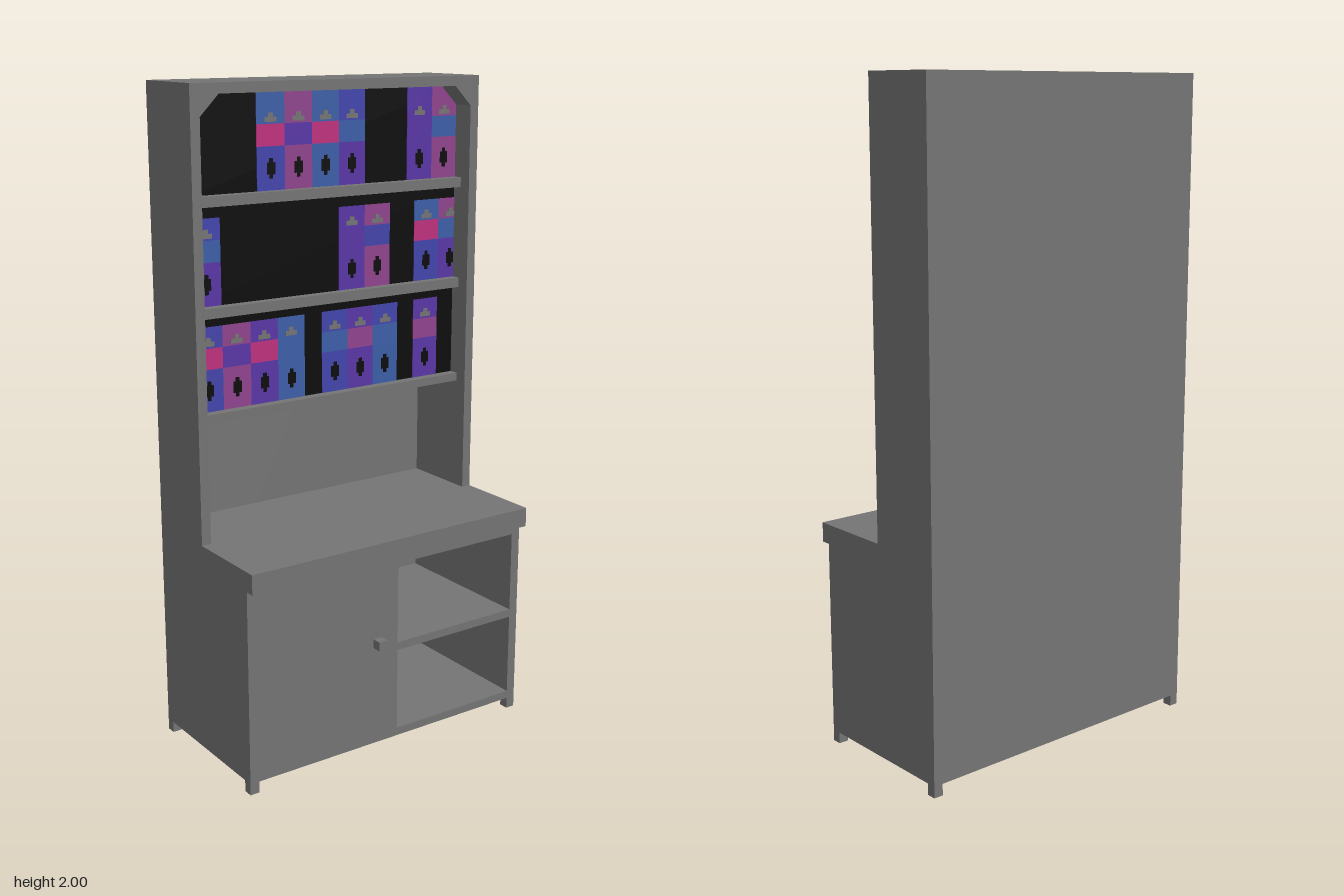
import * as THREE from 'three';

export function createModel() {
  const group = new THREE.Group();
  group.name = 'hutchCabinet';
  const paint = (name, color) => {
    const m = new THREE.MeshStandardMaterial({ color });
    m.name = name;
    return m;
  };
  const gray = paint('grayWood', 0x757575);
  const black = paint('blackShadow', 0x0c0c0c);
  const covers = {
    u: paint('purpleCover', 0x5a37a8),
    i: paint('indigoCover', 0x4445ad),
    b: paint('blueCover', 0x3d5fa9),
    m: paint('magentaCover', 0x91448f),
    p: paint('pinkCover', 0xc0317f),
  };

  // Box given by its two extents along each axis
  const box = (name, x0, x1, y0, y1, z0, z1, mat = gray, parent = group) => {
    const mesh = new THREE.Mesh(new THREE.BoxGeometry(x1 - x0, y1 - y0, z1 - z0), mat);
    mesh.position.set((x0 + x1) / 2, (y0 + y1) / 2, (z0 + z1) / 2);
    mesh.name = name;
    parent.add(mesh);
    return mesh;
  };

  const back = -0.265, baseFront = 0.235, hutchFront = -0.015, wall = 0.005;
  const inner = back + wall;

  // Base: the left bay is hollow and open underneath
  box('backPanel', -0.5, 0.5, 0.035, 2, back, inner);
  box('counterTop', -0.5, 0.5, 0.63, 0.69, inner, 0.265);
  box('doorPanel', -0.5, 0, 0.035, 0.63, baseFront - wall, baseFront);
  box('baseSideRight', -0.5, -0.5 + wall, 0.035, 0.63, inner, baseFront - wall);
  box('baseSideLeft', 0.47, 0.5, 0.035, 0.63, inner, baseFront);
  box('divider', 0, 0.025, 0.035, 0.63, inner, baseFront);
  box('cubbyTopRail', 0.025, 0.47, 0.6, 0.63, inner, baseFront);
  box('cubbyShelf', 0.025, 0.47, 0.32, 0.345, inner, baseFront);
  box('cubbyFloor', 0.025, 0.47, 0.035, 0.06, inner, baseFront);
  box('doorKnob', -0.065, -0.035, 0.35, 0.378, baseFront, 0.265);
  for (const x of [-0.5, 0.47])
    for (const z of [back, baseFront - 0.03]) box('foot', x, x + 0.03, 0, 0.035, z, z + 0.03);

  // Hutch shell with chamfered upper corners
  for (const s of [-1, 1]) {
    box('hutchSide', s < 0 ? -0.5 : 0.47, s < 0 ? -0.47 : 0.5, 0.69, 2, inner, hutchFront);
    const corner = new THREE.Shape([
      new THREE.Vector2(s * 0.47, 1.97),
      new THREE.Vector2(s * 0.41, 1.97),
      new THREE.Vector2(s * 0.47, 1.91),
    ]);
    const mesh = new THREE.Mesh(
      new THREE.ExtrudeGeometry(corner, { depth: 0.07, bevelEnabled: false }), gray);
    mesh.position.z = hutchFront - 0.07;
    mesh.name = 'cornerBrace';
    group.add(mesh);
  }
  box('hutchTop', -0.47, 0.47, 1.97, 2, inner, hutchFront);

  // Shelves with a row of books each: [first column, columns wide, top/middle/bottom colours]
  const u = 0.94 / 30, bookZ = -0.085;
  const rows = [
    { y0: 1.04, y: 1.065, top: 1.345, height: 8, books: [
      [0, 3, 'ipi'], [3, 3, 'mum'], [6, 3, 'upu'], [9, 3, 'bbb'],
      [14, 3, 'ibi'], [17, 3, 'umu'], [20, 3, 'ibb'], [25, 3, 'umu']] },
    { y0: 1.345, y: 1.375, top: 1.66, height: 8, books: [
      [0, 3, 'ibu'], [16, 3, 'uuu'], [19, 3, 'mim'], [25, 3, 'bpi'], [28, 2, 'mbu']] },
    { y0: 1.66, y: 1.69, top: 1.97, height: 9, books: [
      [0, 1, 'iib'], [7, 3, 'bpi'], [10, 3, 'mum'], [13, 3, 'bpb'],
      [16, 3, 'ibu'], [24, 3, 'uuu'], [27, 3, 'mbm']] },
  ];
  for (const row of rows) {
    box('shelf', -0.47, 0.47, row.y0, row.y, inner, -0.055);
    box('shelfBacking', -0.47, 0.47, row.y, row.top, bookZ - 0.01, bookZ - 0.002, black);
    for (const [col, wide, code] of row.books) {
      const book = new THREE.Group();
      book.name = 'book';
      group.add(book);
      const x0 = -0.47 + col * u, x1 = x0 + wide * u;
      const top = row.height > 8 ? row.top : row.y + 8 * u;
      const levels = [top, row.y + 6 * u, row.y + 4 * u, row.y];
      [...code].forEach((c, k) =>
        box('coverBand', x0, x1, levels[k + 1], levels[k], bookZ - 0.002, bookZ, covers[c], book));
      if (wide < 2) continue;
      // Spine ornaments: stepped gray crest and black diamond
      const cx = x0 + 1.5 * u, z = bookZ + 0.001;
      const mark = (name, w, h, y, mat) =>
        box(name, cx - w / 2, Math.min(cx + w / 2, x1), y - h / 2, y + h / 2, bookZ, z, mat, book);
      const cy = row.y + 6.4 * u;
      mark('crestBar', 0.04, 0.014, cy, gray);
      mark('crestTip', 0.016, 0.012, cy + 0.013, gray);
      const dy = row.y + 2 * u;
      mark('spineMark', 0.028, 0.034, dy, black);
      mark('spineMarkTop', 0.012, 0.012, dy + 0.023, black);
      mark('spineMarkBottom', 0.012, 0.012, dy - 0.023, black);
    }
  }
  return group;
}
